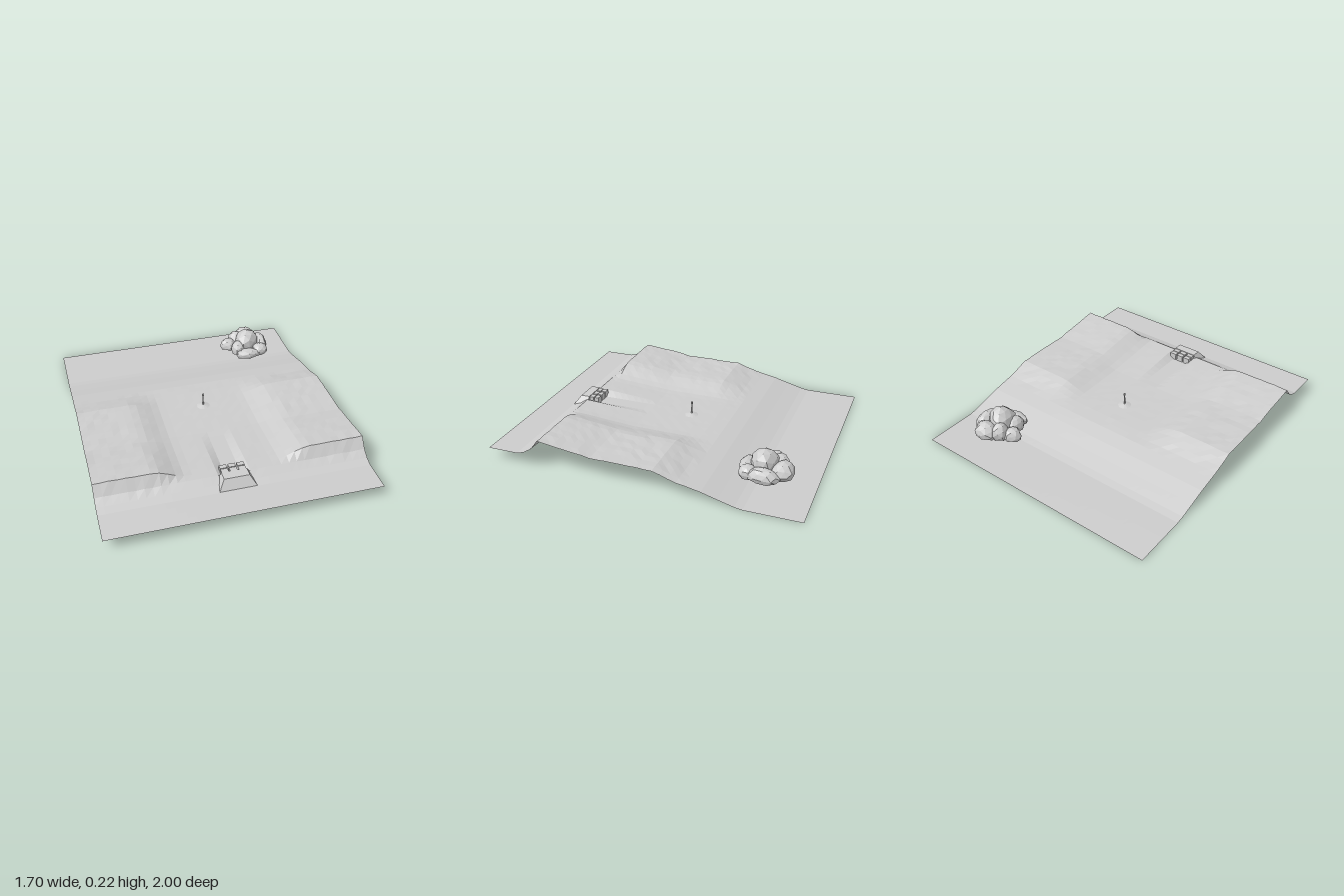
import * as THREE from 'three';

const ground = new THREE.MeshStandardMaterial({ name: 'pale ground', color: 0xcccccc, flatShading: true, side: THREE.DoubleSide });
const stone = new THREE.MeshStandardMaterial({ name: 'pale stone', color: 0xcdcdcd, flatShading: true, side: THREE.DoubleSide });

// Height along z: valley floor and the hills beside it
const VALLEY = [[-1, 0], [-0.65, 0], [-0.6, 0.008], [-0.5, 0.034], [-0.4, 0.062], [-0.3, 0.082], [-0.2, 0.088],
  [0.25, 0.09], [0.6, 0.115], [0.7, 0.12], [0.75, 0.09], [0.8, 0.075], [1, 0.075]];
const HILLS = [[-0.3, 0.082], [-0.25, 0.092], [-0.1, 0.138], [0.3, 0.141], [0.45, 0.163], [0.6, 0.18], [0.65, 0.185], [0.7, 0.12]];

function sample(points, z) {
  for (let i = 1; i < points.length; i++) {
    const [z0, y0] = points[i - 1], [z1, y1] = points[i];
    if (z <= z1) return y0 + (y1 - y0) * Math.max(0, (z - z0) / (z1 - z0));
  }
  return points[points.length - 1][1];
}

function seeded(seed) {
  return () => {
    seed = (seed * 16807) % 2147483647;
    return seed / 2147483647;
  };
}

function heightAt(x, z, wobble) {
  let y = sample(VALLEY, z);
  if (z > -0.3 && z < 0.7) {
    const side = THREE.MathUtils.smoothstep(Math.abs(x), 0.27, 0.5);
    y += (sample(HILLS, z) - y) * side + wobble * 0.004 * (0.3 + side);
  }
  // sunken path to the gate
  if (Math.abs(x) < 0.09 && z > 0.25 && z < 0.73) y = 0.088;
  return y;
}

function makeTerrain() {
  const geo = new THREE.PlaneGeometry(1.7, 2, 34, 40).rotateX(-Math.PI / 2);
  const pos = geo.attributes.position;
  const rand = seeded(17);
  for (let i = 0; i < pos.count; i++) {
    pos.setY(i, heightAt(pos.getX(i), pos.getZ(i), rand() - 0.5));
  }
  geo.computeVertexNormals();
  const mesh = new THREE.Mesh(geo, ground);
  mesh.name = 'terrain';
  return mesh;
}

// Sloped block closing the path, with two rows of small blocks behind
function makeGate() {
  const group = new THREE.Group();
  group.name = 'gate';
  const geo = new THREE.BoxGeometry(1, 1, 1);
  const pos = geo.attributes.position;
  for (let i = 0; i < pos.count; i++) {
    const top = pos.getY(i) > 0, front = pos.getZ(i) > 0;
    pos.setXYZ(i, Math.sign(pos.getX(i)) * (top ? 0.08 : 0.12), top ? 0.135 : 0.072,
      front ? (top ? 0.755 : 0.8) : (top ? 0.695 : 0.7));
  }
  geo.computeVertexNormals();
  const block = new THREE.Mesh(geo, stone);
  block.name = 'gateBlock';
  group.add(block);
  for (const z of [0.642, 0.678]) {
    for (const x of [-0.055, 0, 0.055]) {
      const cube = new THREE.Mesh(new THREE.BoxGeometry(0.045, 0.045, 0.03), stone);
      cube.position.set(x, 0.11, z);
      cube.name = 'smallBlock';
      group.add(cube);
    }
  }
  return group;
}

// Thin post on a low mound
function makePost() {
  const group = new THREE.Group();
  group.name = 'post';
  const add = (name, geo, y) => {
    const mesh = new THREE.Mesh(geo, stone);
    mesh.name = name;
    mesh.position.set(0, y, -0.035);
    group.add(mesh);
  };
  add('mound', new THREE.CylinderGeometry(0.012, 0.05, 0.012, 12), 0.093);
  add('pole', new THREE.CylinderGeometry(0.004, 0.005, 0.085, 6), 0.135);
  add('poleHead', new THREE.CylinderGeometry(0.007, 0.007, 0.014, 6), 0.176);
  return group;
}

// Boulders: lumpy balls with a flat base
function makeRocks() {
  const group = new THREE.Group();
  group.name = 'rocks';
  const base = 0.065;
  const list = [ // x, z, radius x, height, radius z
    [0.51, -0.68, 0.085, 0.16, 0.085], [0.53, -0.8, 0.085, 0.105, 0.07], [0.62, -0.7, 0.05, 0.09, 0.1],
    [0.38, -0.72, 0.06, 0.075, 0.055], [0.44, -0.64, 0.06, 0.095, 0.06], [0.49, -0.57, 0.09, 0.06, 0.045],
    [0.59, -0.6, 0.06, 0.075, 0.06], [0.45, -0.76, 0.055, 0.11, 0.06]];
  list.forEach(([x, z, rx, h, rz], n) => {
    const geo = new THREE.IcosahedronGeometry(1, 1);
    const pos = geo.attributes.position;
    const v = new THREE.Vector3();
    for (let i = 0; i < pos.count; i++) {
      v.fromBufferAttribute(pos, i);
      const lump = 1 + 0.12 * Math.sin(v.x * 3.1 + n * 2.3) * Math.cos(v.z * 3.7 + n) + 0.05 * Math.sin(v.y * 5 + n);
      pos.setXYZ(i, x + v.x * rx * lump, base + Math.max(0, v.y * 0.65 + 0.35) * h * (0.94 + 0.06 * lump), z + v.z * rz * lump);
    }
    geo.computeVertexNormals();
    const rock = new THREE.Mesh(geo, stone);
    rock.name = 'boulder';
    group.add(rock);
  });
  return group;
}

export function createModel() {
  const model = new THREE.Group();
  model.name = 'landscape';
  model.add(makeTerrain(), makeGate(), makePost(), makeRocks());
  return model;
}
